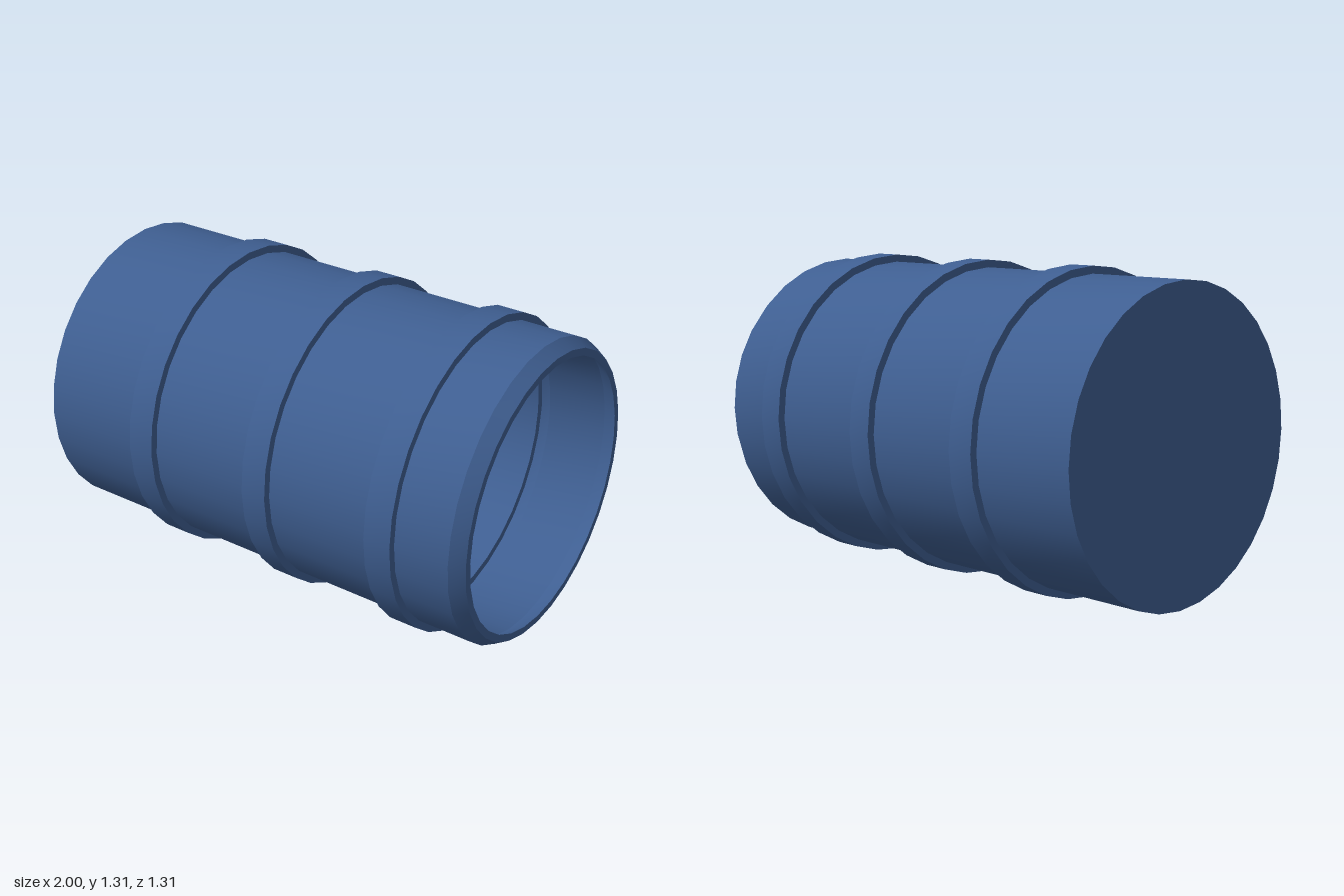
import * as THREE from 'three';
import { toCreasedNormals } from 'three/addons/utils/BufferGeometryUtils.js';

const SIDES = 32;
const AXIS_Y = 0.655;
const WALL = 0.03;
const HOOPS = [[-0.545, -0.43], [0.03, 0.14], [0.6, 0.715]]; // start and end along x

// Profile points are [radius, position along x]
function hoopProfile(radius, hoopRadius, inset) {
  return HOOPS.flatMap(([a, b]) => [
    [radius, a + inset], [hoopRadius, a + inset],
    [hoopRadius, b - inset], [radius, b - inset],
  ]);
}

function lathePart(name, profile, material) {
  const points = profile.map(([r, x]) => new THREE.Vector2(r, x));
  const geometry = toCreasedNormals(new THREE.LatheGeometry(points, SIDES), 0.4);
  geometry.rotateZ(-Math.PI / 2); // lay the barrel along x
  const mesh = new THREE.Mesh(geometry, material);
  mesh.name = name;
  return mesh;
}

export function createModel() {
  const barrel = new THREE.Group();
  barrel.name = 'barrel';
  const material = new THREE.MeshStandardMaterial({ color: 0x3f5f92 });

  // Outside: closed end, wall with three raised hoops, tapered lip
  const outer = [
    [0, -1], [0.624, -1],
    ...hoopProfile(0.624, 0.655, 0),
    [0.624, 0.945], [0.59, 1],
  ];

  // Inside: the same profile, one wall thickness in, from the lip to the floor
  const inner = [
    [0, -1 + WALL], [0.594, -1 + WALL],
    ...hoopProfile(0.594, 0.625, WALL),
    [0.594, 0.937], [0.56, 1],
  ].reverse();

  barrel.add(
    lathePart('outerShell', outer, material),
    lathePart('rim', [[0.59, 1], [0.56, 1]], material),
    lathePart('innerShell', inner, material),
  );
  barrel.position.y = AXIS_Y;

  const model = new THREE.Group();
  model.name = 'openBarrel';
  model.add(barrel);
  return model;
}
